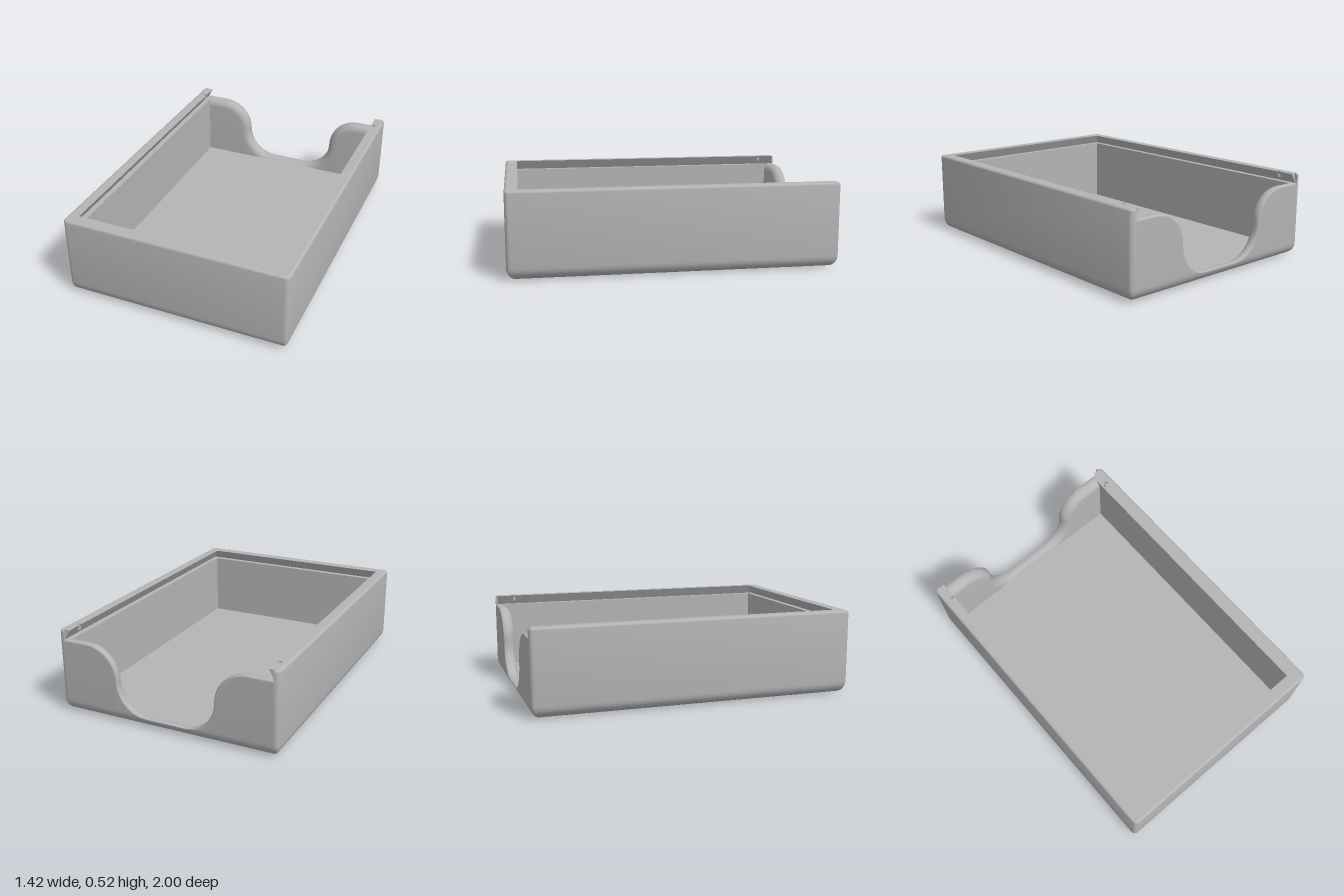
import * as THREE from 'three';
import { toCreasedNormals } from 'three/addons/utils/BufferGeometryUtils.js';

const W = 0.71, L = 1, H = 0.525;            // half width, half length, height
const CORNER = 0.03, BASE_R = 0.075, RIM_R = 0.015;
const IX = 0.64, FRONT_Z = 0.92, BACK_Z = -0.925, FLOOR_Y = 0.048;
const LEDGE_Y = 0.465, SLOT = 0.035;         // undercut slot for a sliding lid
const BACK_R = 0.05, EDGE_R = 0.01;          // roundings of the cutout edge

// Surface through rows of [x, y, z] points
function grid(rows, closed = false) {
  const n = rows[0].length, index = [];
  for (let i = 0; i < rows.length - 1; i++) {
    for (let j = 0; j < (closed ? n : n - 1); j++) {
      const k = (j + 1) % n;
      const a = i * n + j, b = i * n + k, c = (i + 1) * n + k, d = (i + 1) * n + j;
      index.push(a, b, c, a, c, d);
    }
  }
  const g = new THREE.BufferGeometry();
  g.setAttribute('position', new THREE.Float32BufferAttribute(rows.flat(2), 3));
  g.setIndex(index);
  return toCreasedNormals(g, 0.6);
}

// How far the outer wall is set in at height y
function inset(y) {
  if (y < BASE_R) return BASE_R - Math.sqrt(BASE_R ** 2 - (BASE_R - y) ** 2);
  const u = Math.min(y - (H - RIM_R), RIM_R);
  return u > 0 ? RIM_R - Math.sqrt(RIM_R ** 2 - u * u) : 0;
}

// S-shaped cutout of the back wall, from +x to -x, with normals into the air
function cutoutPath() {
  const half = [{ x: IX + SLOT, y: LEDGE_Y, nx: 0, ny: 1 }];
  const r = 0.2025, N = 16, cy = LEDGE_Y - r;
  for (let i = 0; i <= N; i++) {
    const a = Math.PI / 2 * (1 + i / N), c = Math.cos(a), s = Math.sin(a);
    half.push({ x: 0.52 + r * c, y: cy + r * s, nx: c, ny: s });
  }
  for (let i = 1; i <= N; i++) {
    const a = -Math.PI / 2 * i / N, c = Math.cos(a), s = Math.sin(a);
    half.push({ x: 0.52 - 2 * r + r * c, y: cy + r * s, nx: -c, ny: -s });
  }
  const other = half.map(p => ({ ...p, x: -p.x, nx: -p.nx })).reverse();
  return [...half, ...other];
}

function cornerColumns(sx, sz, start) {
  return Array.from({ length: 7 }, (_, i) => ({ sx, sz, t: start + Math.PI / 2 * i / 6, top: H }));
}

// Point of an outline column at height y
function columnPoint(col, y) {
  const h = Math.min(y, col.top), e = inset(h), R = Math.max(CORNER - e, 0);
  const cx = W - e - R, cz = L - e - R;
  if (col.sx) return [col.sx * cx + R * Math.sin(col.t), h, col.sz * cz + R * Math.cos(col.t)];
  return [THREE.MathUtils.clamp(col.x, -cx, cx), h, -(L - e)];
}

export function createModel() {
  const group = new THREE.Group();
  const grey = new THREE.MeshStandardMaterial({ color: 0xb4b4b4, side: THREE.DoubleSide });
  grey.name = 'grey';
  const add = (name, geometry) => {
    const mesh = new THREE.Mesh(geometry, grey);
    mesh.name = name;
    group.add(mesh);
    return mesh;
  };
  const path = cutoutPath();
  const P = Math.PI;

  // Outer shell: rounded box whose back columns stop at the cutout
  const fl = cornerColumns(1, 1, 0), bl = cornerColumns(1, -1, P / 2);
  const br = cornerColumns(-1, -1, P), fr = cornerColumns(-1, 1, 1.5 * P);
  const back = path.map(p => ({ x: p.x - p.nx * EDGE_R, top: p.y - p.ny * EDGE_R }));
  const step = x => ({ x, top: H });
  const columns = [...fl, ...bl, step(IX + SLOT), ...back, step(-IX - SLOT), ...br, ...fr];
  const levels = [];
  for (let i = 0; i <= 8; i++) levels.push(BASE_R * (1 - Math.cos(P / 2 * i / 8)));
  for (let i = 0; i <= 4; i++) levels.push(H - RIM_R + RIM_R * Math.sin(P / 2 * i / 4));
  const shellRows = [columns.map(() => [0, 0, 0])];
  for (const y of levels) shellRows.push(columns.map(c => columnPoint(c, y)));
  add('outerShell', grid(shellRows, true));

  // Inner walls with ledge and undercut lid slot
  const zEnd = -(L - RIM_R);
  const profile = [[0, FLOOR_Y], [0, LEDGE_Y], [SLOT, LEDGE_Y], [0, H]];
  add('innerWalls', grid(profile.map(([o, y]) => {
    const x = IX + o, zf = FRONT_Z + o, zb = y > 0.5 ? zEnd : -L + EDGE_R;
    return [[x, y, zb], [x, y, zf], [-x, y, zf], [-x, y, zb]];
  })));

  // Flat top rim with a small detent hole on each side
  const outer = [...br, ...fr, ...fl, ...bl].map(c => {
    const [x, , z] = columnPoint(c, H);
    return new THREE.Vector2(x, -z);
  });
  const inner = [[IX, -zEnd], [IX, -FRONT_Z], [-IX, -FRONT_Z], [-IX, -zEnd]];
  const rim = new THREE.Shape([...outer, ...inner.map(p => new THREE.Vector2(...p))]);
  for (const s of [1, -1]) {
    rim.holes.push(new THREE.Path().absarc(s * 0.656, 0.875, 0.012, 0, 2 * P, true));
    const hole = add('detentHole', new THREE.CylinderGeometry(0.012, 0.012, 0.035, 20, 1, true));
    hole.position.set(s * 0.656, H - 0.0175, -0.875);

    // Back end of the lip above the slot
    const A = [s * IX, H, zEnd], B = [s * (IX + SLOT), LEDGE_Y, -L + EDGE_R], C = [s * (IX + SLOT), H, zEnd];
    add('lipEnd', grid(s > 0 ? [[A, C], [A, B]] : [[A, B], [A, C]]));
  }
  const rimGeometry = new THREE.ShapeGeometry(rim, 10);
  rimGeometry.rotateX(-P / 2).translate(0, H, 0);
  add('topRim', rimGeometry);

  // Rounded cutout edge and inner face of the back wall
  const edge = [];
  for (let i = 0; i <= 4; i++) {
    const a = P / 2 * i / 4;
    edge.push([EDGE_R * (1 - Math.sin(a)), -L + EDGE_R * (1 - Math.cos(a))]);
  }
  for (let i = 0; i <= 8; i++) {
    const a = P / 2 * i / 8;
    edge.push([BACK_R * (1 - Math.cos(a)), BACK_Z - BACK_R + BACK_R * Math.sin(a)]);
  }
  const edgeRows = edge.map(([d, z]) => path.map(p => {
    const y = p.y - p.ny * d;
    return [p.x - p.nx * d, y, Math.max(z, -L + inset(y))];
  }));
  edgeRows.push(path.map(p => [p.x - p.nx * BACK_R, 0.005, BACK_Z]));
  add('backWall', grid(edgeRows));

  // Floor of the tray
  const floor = new THREE.PlaneGeometry(2 * IX, FRONT_Z + 0.95);
  floor.rotateX(-P / 2).translate(0, FLOOR_Y, (FRONT_Z - 0.95) / 2);
  add('floor', floor);

  return group;
}
